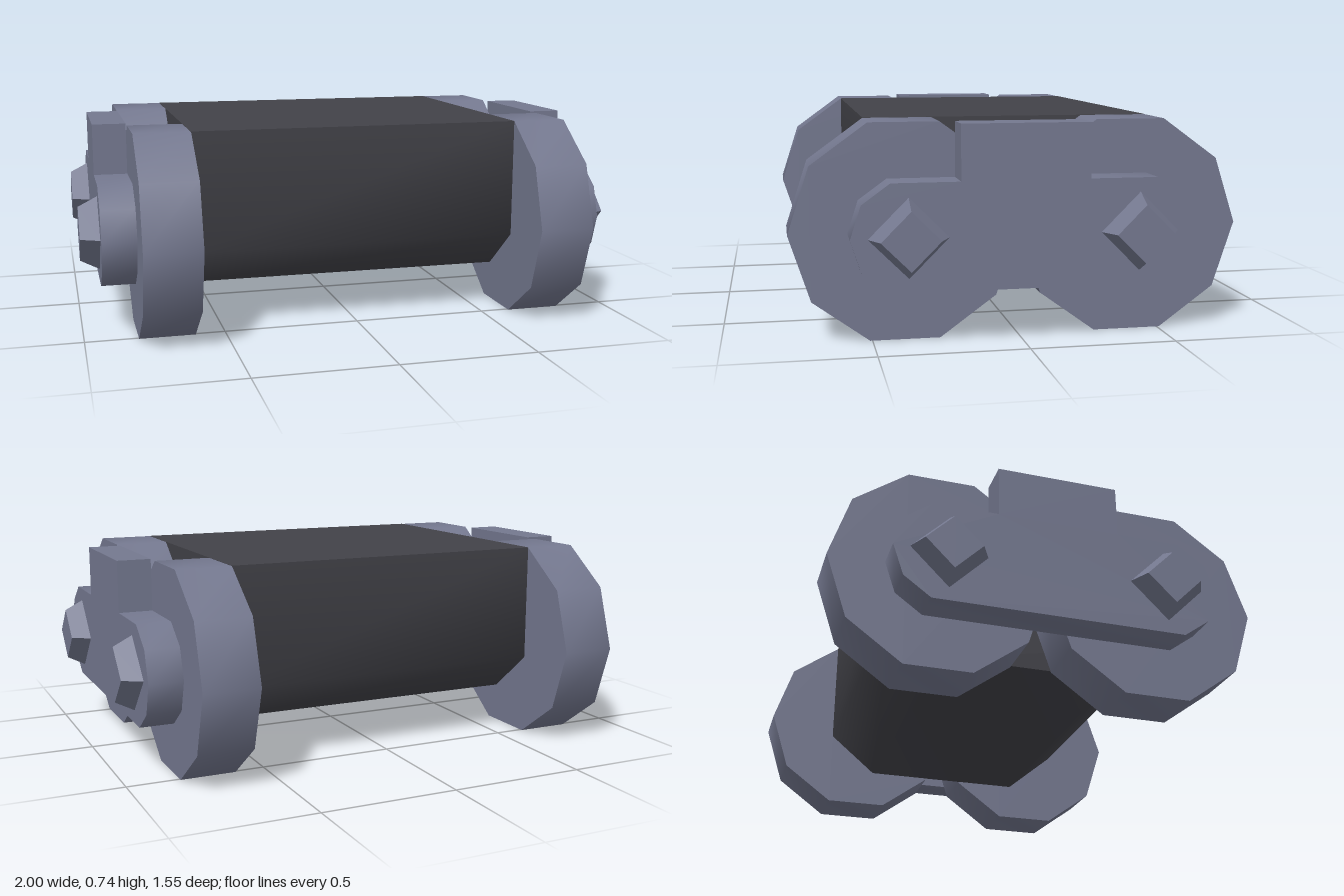
import * as THREE from 'three';
import { toCreasedNormals } from 'three/addons/utils/BufferGeometryUtils.js';

const CREASE = THREE.MathUtils.degToRad(58);
const WHEEL_Z = 0.389;
const AXLE_Y = 0.367;

// Extrudes a [z, y] profile along x, from x0 to x1
function extrudeAlongX(profile, x0, x1) {
  const shape = new THREE.Shape(profile.map(([z, y]) => new THREE.Vector2(-z, y)));
  const geometry = new THREE.ExtrudeGeometry(shape, { depth: x1 - x0, bevelEnabled: false });
  geometry.rotateY(Math.PI / 2).translate(x0, 0, 0);
  return toCreasedNormals(geometry, CREASE);
}

// Points on a ten-sided ring, with a corner pointing along z
function decagon(radius, z, from = 0, to = 9) {
  const points = [];
  for (let i = from; i <= to; i++) {
    const a = (i * Math.PI) / 5;
    points.push([z + radius * Math.cos(a), AXLE_Y + radius * Math.sin(a)]);
  }
  return points;
}

export function createModel() {
  const model = new THREE.Group();
  const steel = new THREE.MeshStandardMaterial({ color: 0x74788f });
  steel.name = 'blue grey steel';
  const dark = new THREE.MeshStandardMaterial({ color: 0x424248 });
  dark.name = 'dark grey';

  function add(name, geometry, material) {
    const mesh = new THREE.Mesh(geometry, material);
    mesh.name = name;
    model.add(mesh);
  }

  // Main body: flat top, chamfered lower edges
  const body = [
    [0.508, 0.735], [-0.508, 0.735], [-0.508, 0.3],
    [-0.32, 0.145], [0.32, 0.145], [0.508, 0.3],
  ];
  add('body', extrudeAlongX(body, -0.609, 0.609), dark);

  // Side plate: two rounded ends with a raised block in the middle
  const plate = [
    ...decagon(0.19, WHEEL_Z, -2, 2),
    [0.218, 0.548], [0.218, 0.735], [-0.218, 0.735], [-0.218, 0.548],
    ...decagon(0.19, -WHEEL_Z, 3, 7),
  ];

  for (const side of [1, -1]) {
    const label = side > 0 ? 'left' : 'right';
    const span = (a, b) => (side > 0 ? [a, b] : [-b, -a]);
    add(label + 'SidePlate', extrudeAlongX(plate, ...span(0.81, 0.932)), steel);

    for (const end of [1, -1]) {
      const name = label + (end > 0 ? 'Front' : 'Rear');
      const z = end * WHEEL_Z;
      add(name + 'Wheel', extrudeAlongX(decagon(0.386, z), ...span(0.608, 0.81)), steel);

      // Tapered square axle bolt
      const bolt = new THREE.CylinderGeometry(0.098, 0.133, 0.068, 4);
      bolt.rotateZ((-side * Math.PI) / 2).translate(side * 0.966, AXLE_Y, z);
      add(name + 'Bolt', toCreasedNormals(bolt, 0.3), steel);
    }
  }
  return model;
}
